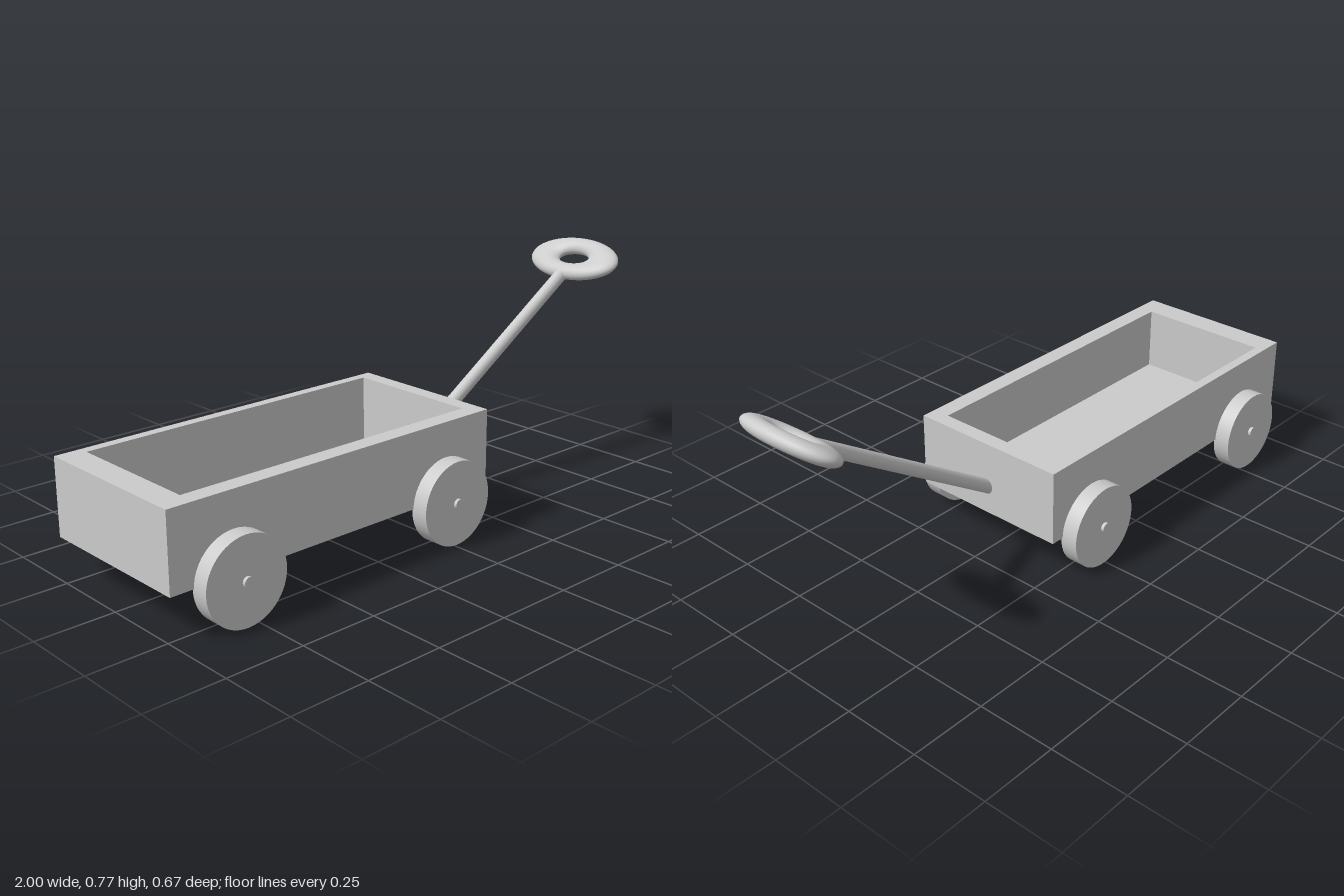
import * as THREE from 'three';

const material = new THREE.MeshStandardMaterial({ color: 0xcccccc });

function add(parent, name, geometry, x = 0, y = 0, z = 0) {
  const mesh = new THREE.Mesh(geometry, material);
  mesh.name = name;
  mesh.position.set(x, y, z);
  parent.add(mesh);
  return mesh;
}

function rectangle(path, x0, x1, y0, y1) {
  path.moveTo(x0, y0);
  path.lineTo(x1, y0);
  path.lineTo(x1, y1);
  path.lineTo(x0, y1);
  path.closePath();
  return path;
}

export function createModel() {
  const wagon = new THREE.Group();
  wagon.name = 'wagon';

  // Open box: a rectangular ring of walls with a floor set inside it
  const bottom = 0.138, top = 0.382, floorTop = 0.168;
  const outline = rectangle(new THREE.Shape(), -1, 0.19, -0.27, 0.27);
  outline.holes.push(rectangle(new THREE.Path(), -0.915, 0.14, -0.212, 0.238));
  const walls = new THREE.ExtrudeGeometry(outline, { depth: top - bottom, bevelEnabled: false });
  walls.rotateX(-Math.PI / 2);
  add(wagon, 'boxWalls', walls, 0, bottom, 0);
  add(wagon, 'boxFloor', new THREE.BoxGeometry(1.055, floorTop - bottom, 0.45),
    -0.3875, (bottom + floorTop) / 2, -0.013);

  // Two axles, each with a pair of wheels
  const wheelRadius = 0.135;
  const wheel = new THREE.CylinderGeometry(wheelRadius, wheelRadius, 0.058, 48).rotateX(Math.PI / 2);
  const axle = new THREE.CylinderGeometry(0.016, 0.016, 0.666, 24).rotateX(Math.PI / 2);
  for (const [end, x] of [['rear', -0.79], ['front', 0.01]]) {
    add(wagon, end + 'Axle', axle, x, wheelRadius, 0);
    for (const side of [-1, 1]) {
      add(wagon, end + 'Wheel', wheel, x, wheelRadius, side * 0.294);
    }
  }

  // Sloping pull handle, built along its own x axis with the grip at the origin
  const handle = new THREE.Group();
  handle.name = 'handle';
  handle.position.set(0.9175, 0.706, 0);
  handle.rotation.z = 0.577;
  const rodStart = -0.89, rodEnd = -0.06;
  const rod = new THREE.CylinderGeometry(0.022, 0.022, rodEnd - rodStart, 24).rotateZ(Math.PI / 2);
  add(handle, 'handleRod', rod, (rodStart + rodEnd) / 2, 0, 0);

  // Flattened oval ring grip
  const grip = new THREE.TorusGeometry(0.12, 0.06, 24, 48).rotateX(Math.PI / 2).scale(0.525, 0.42, 1);
  add(handle, 'handleGrip', grip);
  wagon.add(handle);

  return wagon;
}
